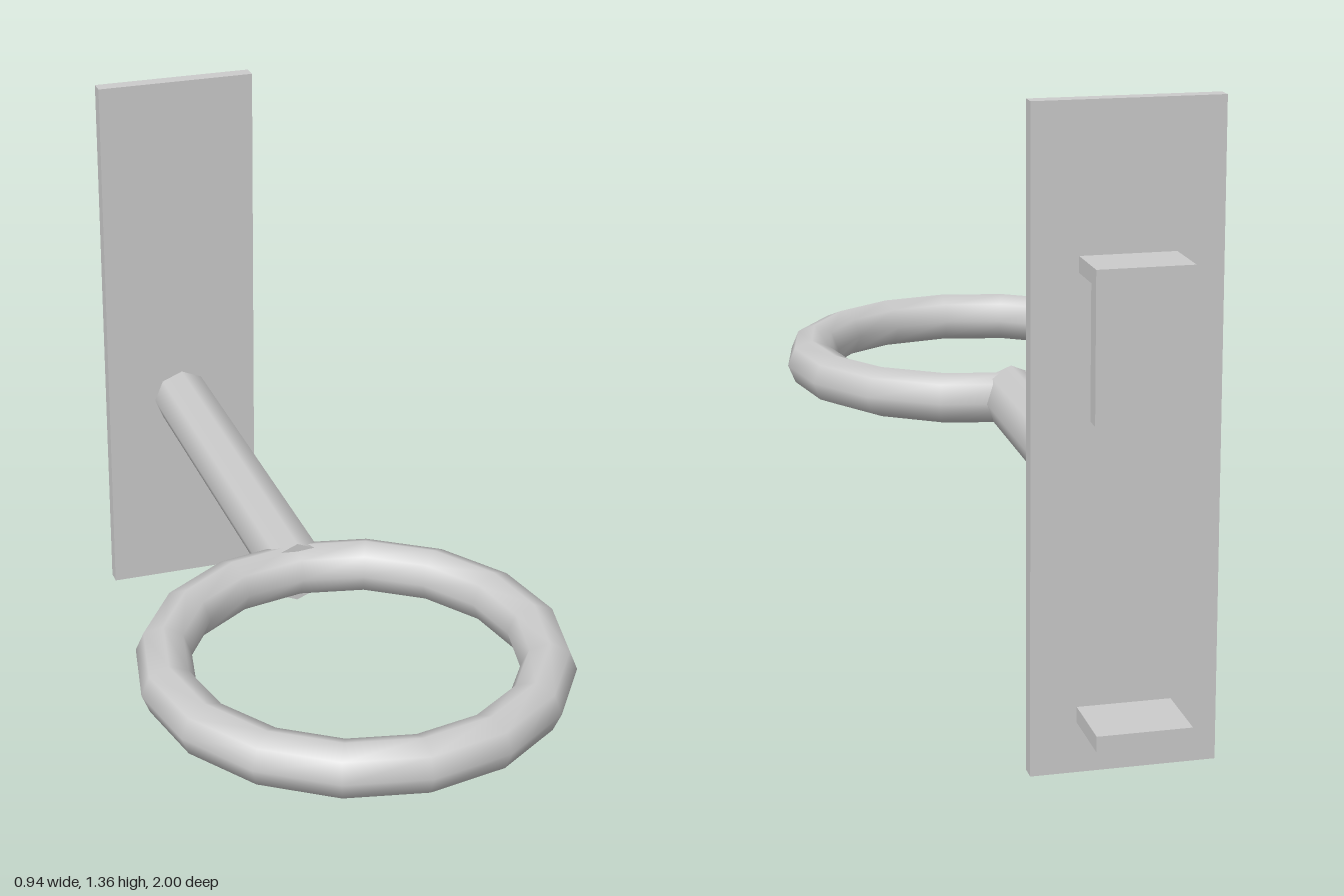
import * as THREE from 'three';

export function createModel() {
  const group = new THREE.Group();
  const material = new THREE.MeshStandardMaterial({ color: 0xcccccc });

  const add = (name, geometry, x, y, z) => {
    const mesh = new THREE.Mesh(geometry, material);
    mesh.name = name;
    mesh.position.set(x, y, z);
    group.add(mesh);
    return mesh;
  };

  // Box given by its width and its y and z extents, centred on x = 0
  const slab = (name, width, y0, y1, z0, z1) =>
    add(name, new THREE.BoxGeometry(width, y1 - y0, z1 - z0), 0, (y0 + y1) / 2, (z0 + z1) / 2);

  const axisY = 0.513;

  // Horizontal holding ring, 16 segments of an octagonal tube
  add('ring', new THREE.TorusGeometry(0.409, 0.06, 8, 16), 0, axisY, 0.531).rotation.x = Math.PI / 2;

  // Arm from the back plate into the ring
  const armFront = 0.14, armBack = -0.815;
  add('arm', new THREE.CylinderGeometry(0.072, 0.072, armFront - armBack, 8),
    0, axisY, (armFront + armBack) / 2).rotation.x = Math.PI / 2;

  // Upright back plate
  slab('backPlate', 0.386, 0, 1.36, -0.847, -0.812);

  // Upper hook as one bent L profile, extruded across x
  const profile = new THREE.Shape([
    [0.847, 1.06], [0.847, 1.027], [0.937, 1.027],
    [0.937, 0.757], [0.972, 0.757], [0.972, 1.06],
  ].map(([back, y]) => new THREE.Vector2(back, y)));
  const hookWidth = 0.195;
  const hook = new THREE.ExtrudeGeometry(profile, { depth: hookWidth, bevelEnabled: false });
  hook.translate(0, 0, -hookWidth / 2).rotateY(Math.PI / 2);
  add('upperHook', hook, 0, 0, 0);

  // Lower spacer tab
  slab('lowerTab', hookWidth, 0.107, 0.14, -1, -0.847);

  return group;
}
